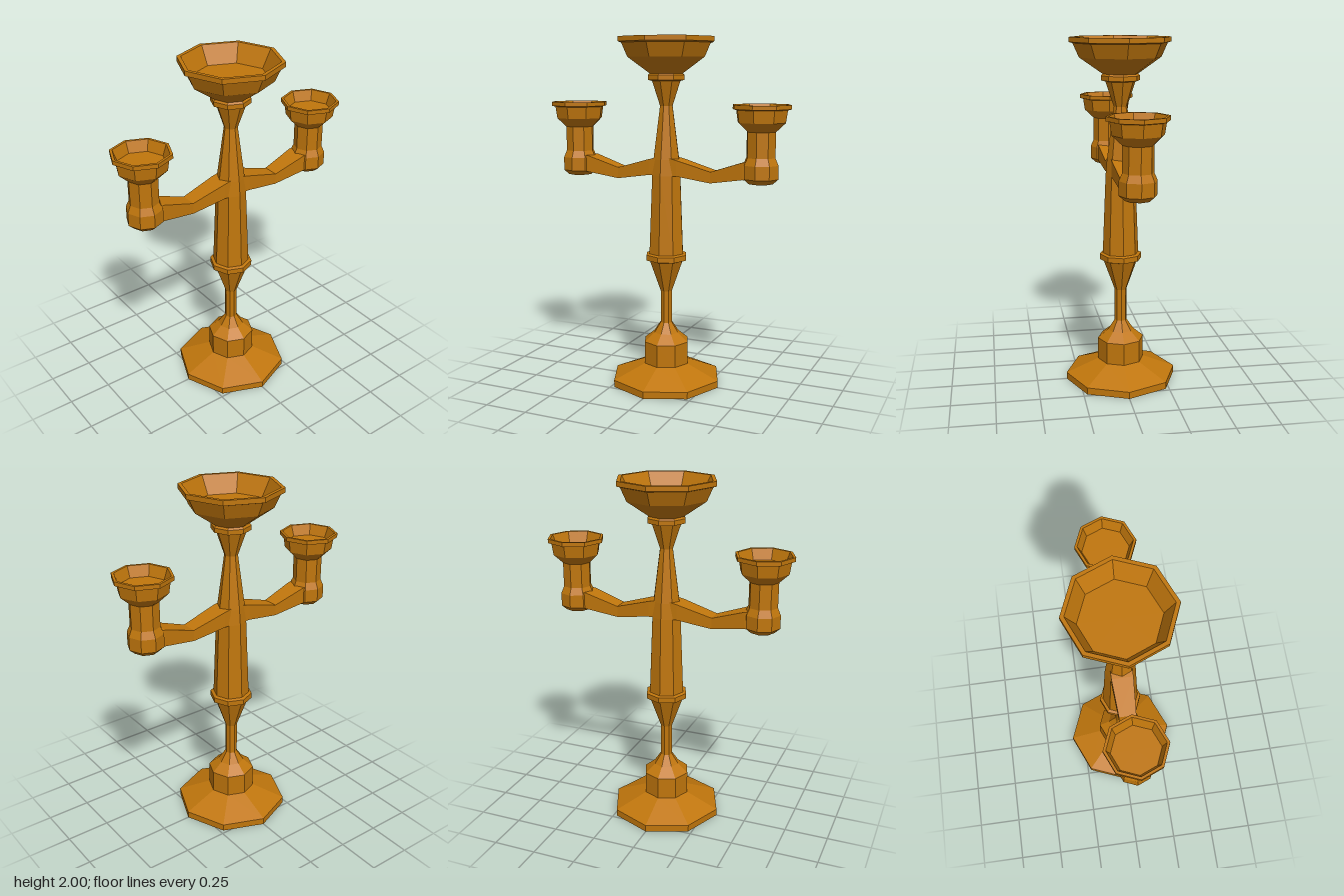
import * as THREE from 'three';

const SIDES = 8;
const bronze = new THREE.MeshStandardMaterial({ color: 0xc0760c, flatShading: true });

// Eight-sided turned part; profile runs from the bottom centre up and over into the bowl
function turned(name, profile) {
  const points = profile.map(([r, y]) => new THREE.Vector2(r, y));
  const mesh = new THREE.Mesh(new THREE.LatheGeometry(points, SIDES), bronze);
  mesh.name = name;
  return mesh;
}

// Rectangular bar lofted along x through sections [x, bottom, top, halfWidth]
function bar(sections) {
  const corners = sections.map(([x, lo, hi, w]) => [[x, lo, w], [x, lo, -w], [x, hi, -w], [x, hi, w]]);
  const pos = [];
  for (let i = 0; i < corners.length - 1; i++) {
    for (let j = 0; j < 4; j++) {
      const k = (j + 1) % 4;
      const a = corners[i][j], b = corners[i][k], c = corners[i + 1][k], d = corners[i + 1][j];
      pos.push(...a, ...b, ...c, ...a, ...c, ...d);
    }
  }
  const geometry = new THREE.BufferGeometry();
  geometry.setAttribute('position', new THREE.Float32BufferAttribute(pos, 3));
  geometry.computeVertexNormals();
  return geometry;
}

export function createModel() {
  const group = new THREE.Group();
  group.name = 'candelabra';

  // Stepped foot
  group.add(turned('base', [
    [0, 0], [0.325, 0], [0.325, 0.04], [0.135, 0.12], [0.135, 0.25], [0.075, 0.3], [0.035, 0.36],
  ]));

  // Column with its lower collar and tapering top
  group.add(turned('column', [
    [0.035, 0.36], [0.035, 0.55], [0.1, 0.73], [0.122, 0.737], [0.122, 0.768], [0.104, 0.775],
    [0.086, 1.23], [0.078, 1.32], [0.038, 1.62],
  ]));

  // Upper collar and large open bowl
  group.add(turned('centreBowl', [
    [0.038, 1.62], [0.085, 1.758], [0.11, 1.764], [0.11, 1.79], [0.1, 1.8], [0.23, 1.89],
    [0.265, 1.967], [0.285, 1.973], [0.285, 2], [0.263, 2], [0.21, 1.9], [0, 1.9],
  ]));

  // Mirrored arms and small cups
  for (const side of [1, -1]) {
    const branch = new THREE.Group();
    branch.name = side > 0 ? 'leftBranch' : 'rightBranch';

    const arm = new THREE.Mesh(bar([
      [0.04, 1.23, 1.33, 0.06], [0.085, 1.23, 1.32, 0.06], [0.285, 1.2, 1.263, 0.047], [0.475, 1.23, 1.325, 0.062], [0.52, 1.23, 1.325, 0.062],
    ]), bronze);
    arm.name = 'arm';
    if (side < 0) arm.rotation.y = Math.PI;

    const cup = turned('cup', [
      [0, 1.208], [0.07, 1.208], [0.1, 1.235], [0.1, 1.31], [0.082, 1.35], [0.082, 1.49],
      [0.135, 1.54], [0.145, 1.607], [0.165, 1.612], [0.165, 1.635], [0.15, 1.635], [0.128, 1.575], [0, 1.575],
    ]);
    cup.position.x = side * 0.56;

    branch.add(arm, cup);
    group.add(branch);
  }
  return group;
}
